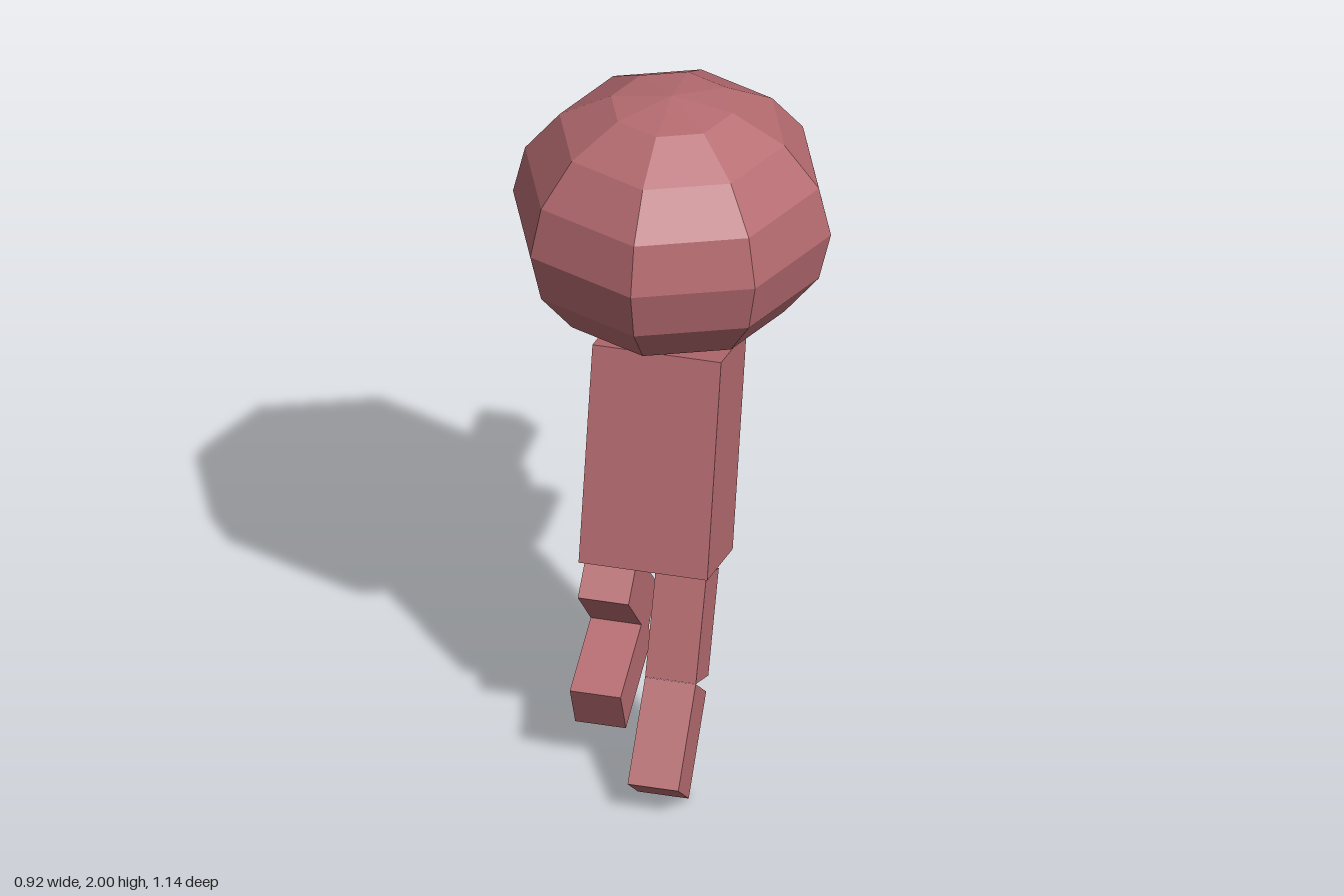
import * as THREE from 'three';

export function createModel() {
  const root = new THREE.Group();
  root.name = 'runningFigure';
  const material = new THREE.MeshStandardMaterial({ color: 0xb56b70, flatShading: true });

  // The whole figure is turned about the vertical axis
  const figure = new THREE.Group();
  figure.name = 'figure';
  figure.rotation.y = 0.543;
  figure.position.set(-0.033, 0, 0.02);
  root.add(figure);

  // Box with a size, a centre and a tilt about the side-to-side axis
  function box(name, size, centre, tilt = 0) {
    const mesh = new THREE.Mesh(new THREE.BoxGeometry(...size), material);
    mesh.name = name;
    mesh.position.set(...centre);
    mesh.rotation.x = tilt;
    figure.add(mesh);
  }

  // Head: low-poly, slightly squashed ball
  const head = new THREE.Mesh(new THREE.SphereGeometry(1, 8, 8), material);
  head.name = 'head';
  head.scale.set(0.461, 0.39, 0.461);
  head.position.set(0, 1.61, 0.035);
  figure.add(head);

  // Leaning torso
  box('torso', [0.373, 0.648, 0.292], [0, 0.896, 0.14], -0.241);

  // Legs: thigh and shin, each bent at the knee
  const legs = [
    ['left', 0.107, [0.449, 0.335, -0.39], [0.169, 0.503, -0.69]],
    ['right', -0.107, [0.458, 0.231, 0.75], [0.257, 0.309, -1.16]],
  ];
  for (const [side, x, thigh, shin] of legs) {
    box(side + 'Thigh', [0.147, 0.308, 0.15], [x, thigh[0], thigh[1]], thigh[2]);
    box(side + 'Shin', [0.147, 0.306, 0.15], [x, shin[0], shin[1]], shin[2]);
  }

  // Floating hand-held tool: barrel, neck, grip and base
  box('toolBarrel', [0.109, 0.11, 0.407], [-0.004, 1.19, -0.457]);
  box('toolNeck', [0.08, 0.04, 0.03], [-0.004, 1.12, -0.27]);
  box('toolGrip', [0.11, 0.105, 0.106], [-0.004, 1.058, -0.297]);
  box('toolBase', [0.132, 0.06, 0.2], [-0.004, 0.96, -0.339]);

  return root;
}
